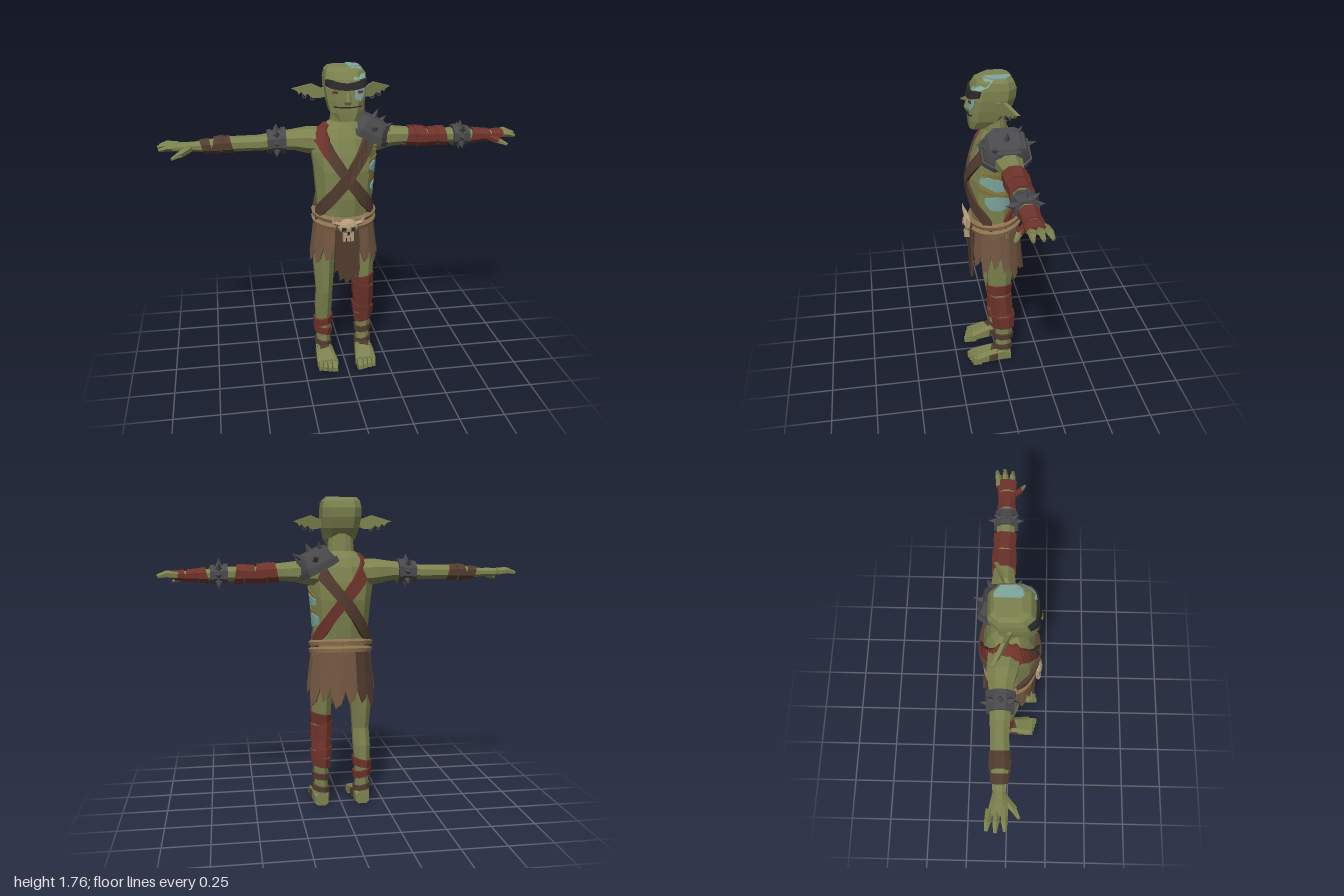
import * as THREE from 'three';

const material = (name, color) => Object.assign(new THREE.MeshStandardMaterial({ color, flatShading: true }), { name });
const skinMat = material('green skin', 0x7c824e), red = material('red cloth', 0x6e332b);
const leather = material('dark leather', 0x523c2f), iron = material('iron', 0x4a494b);
const blue = material('blue paint', 0x7ea79f), rope = material('rope', 0x8c7150);
const hide = material('hide', 0x715640), bone = material('bone', 0xb39c78);
const black = material('black', 0x282829), ochre = material('ochre paint', 0x82733a);

const rad = Math.PI / 180;
const spow = (v, p) => Math.sign(v) * Math.abs(v) ** p;

// Closed solid through rings of points, wound outward; side -1 mirrors it in x
function skin(rings, side = 1) {
  const tris = [], n = rings[0].length;
  for (let r = 0; r < rings.length - 1; r++) for (let i = 0; i < n; i++) {
    const j = (i + 1) % n, [a, b, c, d] = [rings[r][i], rings[r][j], rings[r + 1][j], rings[r + 1][i]];
    tris.push([a, b, c], [a, c, d]);
  }
  const first = rings[0], last = rings[rings.length - 1];
  for (let i = 1; i < n - 1; i++) tris.push([first[0], first[i + 1], first[i]], [last[0], last[i], last[i + 1]]);
  const o = first[0];
  const volume = tris.reduce((sum, t) => {
    const [a, b, c] = t.map(p => new THREE.Vector3(p[0] - o[0], p[1] - o[1], p[2] - o[2]));
    return sum + a.dot(b.cross(c));
  }, 0);
  const flip = volume * side < 0, pos = [];
  for (const [a, b, c] of tris) for (const p of flip ? [a, c, b] : [a, b, c]) pos.push(p[0] * side, p[1], p[2]);
  const g = new THREE.BufferGeometry();
  g.setAttribute('position', new THREE.Float32BufferAttribute(pos, 3));
  g.computeVertexNormals();
  return g;
}

// Sections are [position along axis, centre u, centre v, radius u, radius v]
function sample(secs, t) {
  let i = 0;
  while (i < secs.length - 2 && t > secs[i + 1][0]) i++;
  const k = (t - secs[i][0]) / (secs[i + 1][0] - secs[i][0]);
  return secs[i].map((v, q) => v + (secs[i + 1][q] - v) * k);
}
function at(secs, axis, t, deg, off = 0, p = 1) {
  const [, u, v, a, b] = sample(secs, t);
  const x = u + spow(Math.cos(deg * rad), p) * (a + off), y = v + spow(Math.sin(deg * rad), p) * (b + off);
  return axis === 'y' ? [x, t, y] : axis === 'x' ? [t, x, y] : [x, y, t];
}
const around = (n, fn) => Array.from({ length: n }, (_, i) => fn((i + 0.5) * 360 / n, i));
const loft = (secs, axis, n, p = 1, side = 1) =>
  skin(secs.map(s => around(n, d => at(secs, axis, s[0], d, 0, p))), side);

// Cloth or metal sleeve hugging a limb
function sleeve(secs, axis, t0, t1, off, side = 1, tilt = 0, n = 8) {
  return skin([[t0, -0.006], [t0, off], [t1, off], [t1, -0.006]].map(([t, o]) =>
    around(n, d => at(secs, axis, t + tilt * Math.cos(d * rad), d, o))), side);
}
// Ribbon on the surface of an upright loft, points are [degrees, low y, high y]
function ribbon(secs, points, off, p = 1, inner = -0.008) {
  const rings = [];
  points.slice(1).forEach((q, i) => {
    const o = points[i], n = Math.max(1, Math.round(Math.abs(q[0] - o[0]) / 10));
    for (let k = i ? 1 : 0; k <= n; k++) {
      const [d, lo, hi] = o.map((v, m) => v + (q[m] - v) * k / n);
      rings.push([[lo, inner], [lo, off], [hi, off], [hi, inner]].map(([y, f]) => at(secs, 'y', y, d, f, p)));
    }
  });
  return skin(rings);
}
function plate(points, depth) {
  return new THREE.ExtrudeGeometry(new THREE.Shape(points.map(p => new THREE.Vector2(...p))), { depth, bevelEnabled: false });
}

const torso = [[0.84, 0, 0, 0.155, 0.11], [0.95, 0, 0.012, 0.155, 0.125], [1.05, 0, 0.012, 0.16, 0.14],
  [1.2, 0, 0.005, 0.172, 0.152], [1.3, 0, 0, 0.186, 0.135], [1.38, 0, -0.005, 0.175, 0.112],
  [1.43, 0, -0.005, 0.13, 0.088], [1.465, 0, 0, 0.075, 0.063], [1.56, 0, 0.005, 0.068, 0.058]];
const head = [[1.483, 0, 0.1, 0.06, 0.045], [1.53, 0, 0.06, 0.09, 0.09], [1.59, 0, 0.035, 0.105, 0.115],
  [1.65, 0, 0.022, 0.113, 0.124], [1.7, 0, 0.012, 0.113, 0.119], [1.738, 0, 0.008, 0.105, 0.1], [1.757, 0, -0.005, 0.085, 0.068]];
const arm = [[0.1, 1.345, -0.02, 0.08, 0.09], [0.2, 1.352, -0.03, 0.073, 0.085], [0.27, 1.355, -0.035, 0.058, 0.07],
  [0.36, 1.353, -0.035, 0.05, 0.058], [0.46, 1.345, -0.035, 0.042, 0.055], [0.53, 1.345, -0.035, 0.042, 0.05],
  [0.65, 1.345, -0.03, 0.042, 0.052], [0.74, 1.34, -0.03, 0.034, 0.042], [0.81, 1.34, -0.03, 0.025, 0.034],
  [0.86, 1.34, -0.03, 0.025, 0.046], [0.92, 1.343, -0.035, 0.018, 0.055]];
const leg = [[0.02, 0.12, -0.025, 0.044, 0.048], [0.08, 0.12, -0.025, 0.042, 0.048], [0.15, 0.12, -0.028, 0.039, 0.046],
  [0.25, 0.12, -0.03, 0.045, 0.055], [0.35, 0.118, -0.02, 0.052, 0.062], [0.45, 0.115, 0, 0.05, 0.06],
  [0.55, 0.115, -0.003, 0.058, 0.07], [0.7, 0.115, -0.008, 0.068, 0.083], [0.9, 0.09, 0, 0.08, 0.1]];
const foot = [[-0.07, 0.12, 0.035, 0.04, 0.035], [-0.02, 0.12, 0.05, 0.048, 0.05], [0.06, 0.117, 0.042, 0.056, 0.042],
  [0.135, 0.113, 0.027, 0.064, 0.027]];
const skirt = [[0.5, 0, 0, 0.22, 0.17], [0.95, 0, 0, 0.165, 0.13]];

export function createModel() {
  const model = new THREE.Group();
  const add = (name, geo, mat, parent = model) => {
    const m = new THREE.Mesh(geo, mat);
    m.name = name;
    parent.add(m);
    return m;
  };
  const box = (name, mat, w, h, d, x, y, z) => add(name, new THREE.BoxGeometry(w, h, d).translate(x, y, z), mat);
  // Tapered rod or spike between two points
  const rod = (name, mat, a, b, r0, r1, n = 5, parent = model) => {
    const p = new THREE.Vector3(...a), dir = new THREE.Vector3(...b).sub(p);
    const m = add(name, new THREE.CylinderGeometry(r1, r0, dir.length(), n), mat, parent);
    m.position.copy(p).addScaledVector(dir, 0.5);
    m.quaternion.setFromUnitVectors(new THREE.Vector3(0, 1, 0), dir.normalize());
  };

  add('torso', loft(torso, 'y', 12), skinMat);
  add('head', loft(head, 'y', 8, 0.6), skinMat);

  // Face
  add('nose', skin([[1.572, 0.022, 0.155], [1.59, 0.026, 0.166], [1.64, 0.012, 0.15]].map(([y, w, z]) =>
    [[-w, y, 0.13], [w, y, 0.13], [w * 0.5, y, z], [-w * 0.5, y, z]])), skinMat);
  add('brow', ribbon(head, [[30, 1.67, 1.7], [60, 1.658, 1.698], [90, 1.648, 1.682], [120, 1.658, 1.698], [150, 1.67, 1.7]], 0.01, 0.6), black);
  add('mouth', ribbon(head, [[55, 1.562, 1.567], [90, 1.556, 1.561], [125, 1.562, 1.567]], 0.004, 0.6, -0.005), black);
  for (const d of [66, 114]) add('eye', ribbon(head, [[d - 7, 1.632, 1.646], [d + 7, 1.632, 1.646]], 0.007, 0.6, -0.002), red);
  add('eyePaint', ribbon(head, [[45, 1.62, 1.655], [62, 1.59, 1.655], [80, 1.605, 1.655]], 0.003, 0.6, -0.006), blue);
  add('foreheadPaint', ribbon(head, [[12, 1.725, 1.755], [35, 1.705, 1.756], [81, 1.7, 1.756]], 0.003, 0.6, -0.006), blue);
  add('crownPaint', plate([[0.018, -0.062], [0.048, -0.06], [0.083, -0.03], [0.083, 0.04], [0.048, 0.072], [0.018, 0.072]], 0.005)
    .rotateX(-Math.PI / 2).translate(0, 1.755, 0), blue);

  // Ears, swept back
  for (const s of [1, -1]) {
    const ear = [[0.09, 1.645], [0.12, 1.64], [0.17, 1.66], [0.27, 1.627], [0.245, 1.617], [0.235, 1.6], [0.222, 1.612],
      [0.205, 1.592], [0.19, 1.604], [0.165, 1.583], [0.13, 1.585], [0.09, 1.6]];
    const layer = z => ear.map(([x, y]) => [x, y, z - (x - 0.1) * 0.48]);
    const g = plate(s > 0 ? ear : ear.map(([x, y]) => [-x, y]), 0.02);
    const p = g.attributes.position;
    for (let i = 0; i < p.count; i++) p.setZ(i, p.getZ(i) - (Math.abs(p.getX(i)) - 0.1) * 0.48);
    g.computeVertexNormals();
    add('ear', g, skinMat);
    for (const k of [7, 9]) {
      const [x, y, z] = layer(0.01)[k];
      add('earRing', new THREE.TorusGeometry(0.011, 0.004, 4, 7).translate(s * x, y - 0.002, z), iron);
    }
  }

  for (const s of [1, -1]) {
    // Arm, fingers and thumb
    add('arm', loft(arm, 'x', 8, 1, s), skinMat);
    [[-0.075, -0.088, 1.35], [-0.04, -0.045, 1.352], [-0.005, 0.0, 1.345]].forEach(([z0, z1, y], i) => {
      rod('finger', skinMat, [s * 0.89, 1.343, z0], [s * 0.955, y, (z0 + z1) / 2], 0.019, 0.018);
      rod('fingertip', skinMat, [s * 0.945, y, (z0 + z1) / 2], [s * (i === 1 ? 1 : 0.992), y - 0.012, z1], 0.018, 0.009);
    });
    const thumb = s > 0 ? red : skinMat;
    rod('thumbBase', thumb, [s * 0.83, 1.335, -0.01], [s * 0.885, 1.315, 0.045], 0.022, 0.018);
    rod('thumbTip', skinMat, [s * 0.88, 1.317, 0.04], [s * 0.925, 1.3, 0.068], 0.017, 0.008);

    // Leg, foot and toes
    add('leg', loft(leg, 'y', 8, 1, s), skinMat);
    add('foot', loft(foot, 'z', 8, 0.6, s), skinMat);
    [0.075, 0.105, 0.132, 0.157].forEach((x, i) => {
      const w = i ? 0.012 : 0.016, len = 0.185 - i * 0.008;
      add('toe', skin([[0.11, 0.046], [0.155, 0.044], [len, 0.025]].map(([z, h]) =>
        [[x - w, 0, z], [x + w, 0, z], [x + w * 0.8, h, z], [x - w * 0.8, h, z]]), s), skinMat);
    });
    add('footWrap', sleeve(foot, 'z', -0.005, 0.045, 0.007, s, 0.02), leather);
    add('ankleWrap', sleeve(leg, 'y', 0.085, 0.115, 0.011, s, 0.01), leather);
  }

  // Cloth wrappings on the limbs: [sections, axis, from, to, thickness, side, tilt]
  const wraps = [[arm, 'x', 0.36, 0.42, 0.01, 1, 0.012], [arm, 'x', 0.41, 0.48, 0.015, 1, -0.012], [arm, 'x', 0.475, 0.54, 0.011, 1, 0.01],
    [arm, 'x', 0.535, 0.585, 0.015, 1, -0.01], [arm, 'x', 0.735, 0.785, 0.013, 1, 0.01], [arm, 'x', 0.78, 0.85, 0.01, 1, -0.01],
    [arm, 'x', 0.85, 0.915, 0.008, 1, 0.008], [leg, 'y', 0.48, 0.545, 0.008, 1, 0.012], [leg, 'y', 0.4, 0.485, 0.013, 1, -0.012],
    [leg, 'y', 0.33, 0.41, 0.008, 1, 0.012], [leg, 'y', 0.29, 0.34, 0.015, 1, -0.01], [leg, 'y', 0.235, 0.29, 0.01, 1, 0.012],
    [leg, 'y', 0.225, 0.27, 0.013, -1, -0.012], [leg, 'y', 0.165, 0.205, 0.015, -1, 0.012]];
  for (const w of wraps) add('redWrap', sleeve(...w), red);
  for (const [t0, t1, o, k] of [[0.605, 0.665, 0.006, 0.012], [0.66, 0.71, 0.01, -0.01], [0.715, 0.765, 0.007, 0.012]])
    add('forearmWrap', sleeve(arm, 'x', t0, t1, o, -1, k), leather);
  add('shinStrap', sleeve(leg, 'y', 0.16, 0.195, 0.012, 1, 0.006), leather);

  // Spiked iron armbands
  for (const [t0, t1, s] of [[0.315, 0.415, -1], [0.625, 0.72, 1]]) {
    add('armband', sleeve(arm, 'x', t0, t1, 0.012, s), iron);
    for (const t of [t0, t1 - 0.024]) add('armbandRim', sleeve(arm, 'x', t, t + 0.024, 0.019, s), iron);
    around(8, d => {
      const t = (t0 + t1) / 2, [a, b] = [0, 0.045].map(o => at(arm, 'x', t, d - 22.5, o));
      rod('armbandSpike', iron, [s * a[0], a[1], a[2]], [s * b[0], b[1], b[2]], 0.022, 0.001, 4);
    });
  }

  // Shoulder guard
  const guard = new THREE.Group();
  guard.name = 'shoulderGuard';
  guard.position.set(0.155, 1.42, -0.03);
  guard.rotation.z = -0.47;
  model.add(guard);
  add('guardShell', loft([[-0.06, 0, 0, 0.112, 0.128], [-0.025, 0, 0, 0.108, 0.126], [0.035, 0, 0, 0.09, 0.098], [0.05, 0, 0, 0.07, 0.075]], 'y', 8, 0.6), iron, guard);
  add('guardRim', loft([[-0.065, 0, 0, 0.122, 0.138], [-0.035, 0, 0, 0.122, 0.138]], 'y', 8, 0.6), iron, guard);
  add('guardTopRim', loft([[0.022, 0, 0, 0.102, 0.112], [0.042, 0, 0, 0.094, 0.1]], 'y', 8, 0.6), iron, guard);
  for (const [a, b] of [[[0, 0.04, 0], [0, 0.1, 0]], [[0, 0, 0.1], [0, 0.025, 0.16]], [[0, 0, -0.1], [0, 0.025, -0.16]],
    [[0.09, 0, 0], [0.145, 0.03, 0]], [[0.06, 0.03, 0.06], [0.085, 0.075, 0.09]], [[0.06, 0.03, -0.06], [0.085, 0.075, -0.09]],
    [[-0.05, 0.03, -0.06], [-0.06, 0.085, -0.09]]]) rod('guardSpike', iron, a, b, 0.022, 0.001, 4, guard);

  // Crossed straps over both shoulders
  const strap = list => list.map(([d, y, h]) => [d, y - h, y + h]);
  add('strapFront', ribbon(torso, strap([[15, 0.94, 0.04], [60, 1.06, 0.05], [90, 1.17, 0.05], [122, 1.32, 0.055]]), 0.013), leather);
  add('strapRed', ribbon(torso, strap([[120, 1.32, 0.06], [145, 1.4, 0.045], [180, 1.425, 0.03], [215, 1.4, 0.045],
    [240, 1.32, 0.06], [270, 1.2, 0.05], [305, 1.06, 0.05], [345, 0.94, 0.04]]), 0.014), red);
  add('strapLeft', ribbon(torso, strap([[165, 0.94, 0.04], [120, 1.06, 0.05], [90, 1.17, 0.05], [58, 1.32, 0.055], [35, 1.4, 0.045],
    [0, 1.425, 0.03], [-35, 1.4, 0.045], [-60, 1.32, 0.05], [-90, 1.2, 0.05], [-125, 1.06, 0.05], [-165, 0.94, 0.04]]), 0.018), leather);

  // Body paint on the left ribs
  const paint = (name, mat, pts) => add(name, ribbon(torso, pts, 0.004, 1, -0.005), mat);
  paint('ribPaint', blue, [[-28, 1.17, 1.2], [5, 1.16, 1.235], [25, 1.185, 1.245], [42, 1.205, 1.23]]);
  paint('ribPaint', blue, [[-35, 1.06, 1.1], [-5, 1.04, 1.13], [18, 1.05, 1.125], [30, 1.09, 1.115]]);
  paint('ribStripe', ochre, [[-30, 1.21, 1.22], [5, 1.245, 1.27], [40, 1.255, 1.265]]);
  paint('ribStripe', ochre, [[-25, 1.12, 1.135], [10, 1.135, 1.152], [45, 1.15, 1.18]]);

  // Ragged skirt
  around(16, (d, i) => {
    const tip = 0.675 + 0.02 * Math.cos(i * 2.4) - (d > 200 && d < 340 ? 0.06 : 0.01), notch = tip + 0.085;
    const layer = o => [[d - 11.4, 0.93], [d + 11.4, 0.93], [d + 11.4, notch], [d + 3, tip], [d - 6, tip + 0.025], [d - 11.4, notch]]
      .map(([e, y]) => at(skirt, 'y', y, e, o));
    add('skirtPiece', skin([layer(0), layer(-0.01)]), [3, 4, 9, 10].includes(i) ? leather : hide);
  });
  add('loincloth', plate([[-0.06, 0.92], [-0.075, 0.62], [-0.055, 0.645], [-0.045, 0.57], [-0.02, 0.585], [-0.01, 0.545], [0.015, 0.575],
    [0.03, 0.55], [0.045, 0.6], [0.06, 0.575], [0.07, 0.64], [0.06, 0.92]], 0.014).translate(0, 0, 0.138), leather);

  // Rope belt
  for (const y of [0.948, 0.907]) {
    const path = around(20, d => new THREE.Vector3(0.166 * Math.cos(d * rad), y - 0.02 * Math.sin(d * rad), 0.004 + 0.134 * Math.sin(d * rad)));
    add('ropeBelt', new THREE.TubeGeometry(new THREE.CatmullRomCurve3(path, true), 24, 0.019, 5, true), rope);
  }

  // Horned skull buckle
  add('skull', new THREE.IcosahedronGeometry(1, 1).scale(0.058, 0.045, 0.032).translate(0, 0.9, 0.158), bone);
  box('skullJaw', bone, 0.06, 0.05, 0.035, 0, 0.845, 0.165);
  box('skullNose', black, 0.012, 0.018, 0.006, 0, 0.867, 0.182);
  for (const s of [1, -1]) {
    rod('hornBase', bone, [s * 0.04, 0.915, 0.158], [s * 0.082, 0.93, 0.165], 0.015, 0.012);
    rod('hornTip', bone, [s * 0.08, 0.926, 0.165], [s * 0.088, 0.98, 0.178], 0.013, 0.001);
    box('skullSocket', black, 0.024, 0.02, 0.008, s * 0.026, 0.892, 0.184);
    box('toothGap', black, 0.004, 0.022, 0.004, s * 0.012, 0.832, 0.182);
  }
  return model;
}
